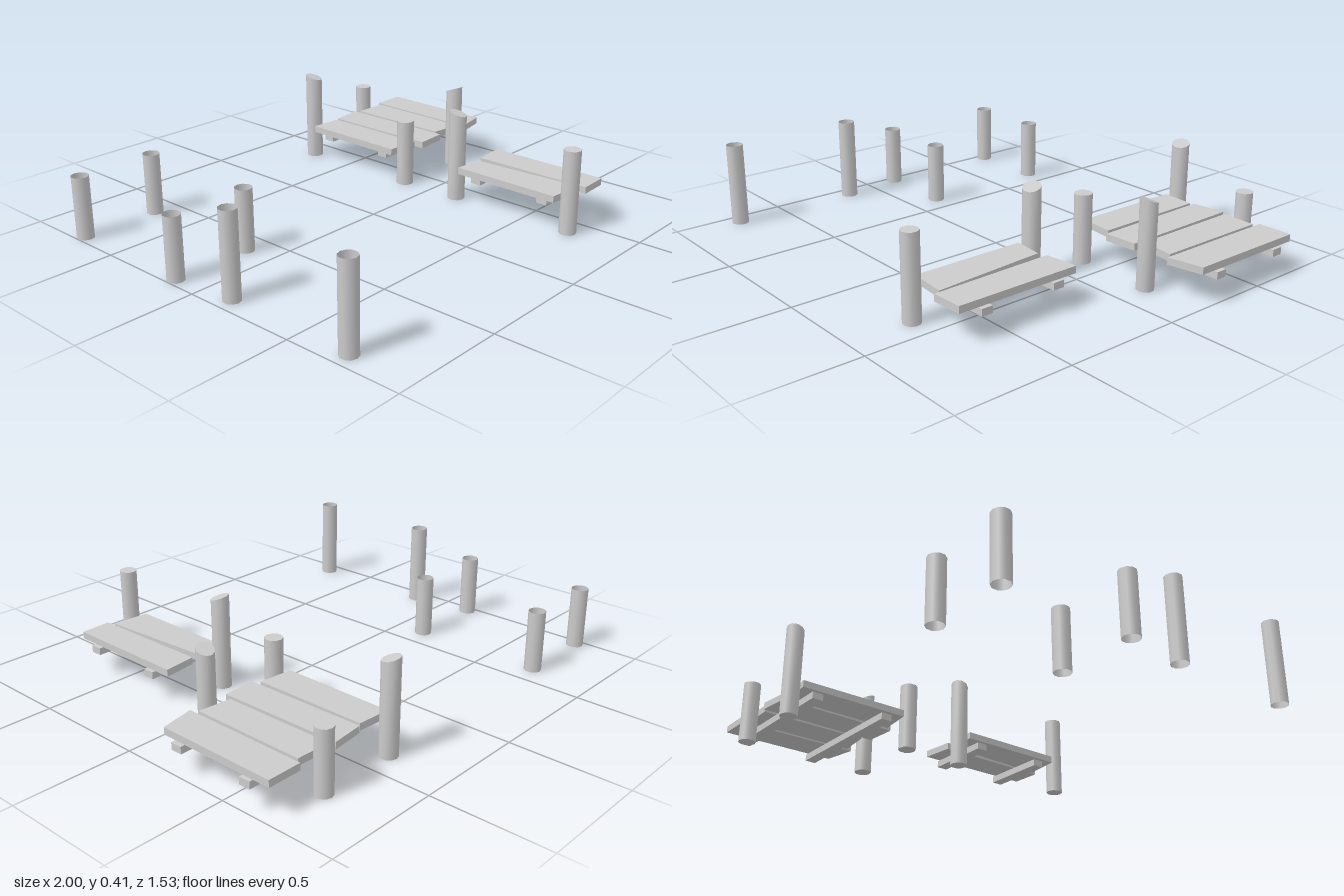
import * as THREE from 'three';

const wood = new THREE.MeshStandardMaterial({ color: 0xcccccc });
const openWood = new THREE.MeshStandardMaterial({ color: 0xcccccc, side: THREE.DoubleSide });

// Round post standing on the ground; its top may be sawn at a slant (rise per x and z)
function post(name, x, z, height, radius, slopeX = 0, slopeZ = 0, open = false) {
  const g = new THREE.CylinderGeometry(radius, radius, height, 10, 1, open);
  g.translate(0, height / 2, 0);
  const p = g.attributes.position;
  for (let i = 0; i < p.count; i++) {
    if (p.getY(i) > height / 2) p.setY(i, height + p.getX(i) * slopeX + p.getZ(i) * slopeZ);
  }
  if (slopeX || slopeZ) g.computeVertexNormals();
  const mesh = new THREE.Mesh(g, open ? openWood : wood);
  mesh.name = name;
  mesh.position.set(x, 0, z);
  return mesh;
}

// Crooked plank from its four corners [x, z] seen from above
function plank(corners) {
  const shape = new THREE.Shape(corners.map(([x, z]) => new THREE.Vector2(x, -z)));
  const g = new THREE.ExtrudeGeometry(shape, { depth: 0.03, bevelEnabled: false });
  g.rotateX(-Math.PI / 2);
  const mesh = new THREE.Mesh(g, wood);
  mesh.name = 'plank';
  mesh.position.y = 0.13;
  return mesh;
}

// Support beam running along x under the planks
function beam(x0, x1, z) {
  const mesh = new THREE.Mesh(new THREE.BoxGeometry(x1 - x0, 0.03, 0.05), wood);
  mesh.name = 'beam';
  mesh.position.set((x0 + x1) / 2, 0.115, z);
  return mesh;
}

function deck(name, planks, beams) {
  const group = new THREE.Group();
  group.name = name;
  planks.forEach((c) => group.add(plank(c)));
  beams.forEach((b) => group.add(beam(...b)));
  return group;
}

export function createModel() {
  const model = new THREE.Group();
  model.name = 'brokenDock';

  // Two plank decks
  model.add(deck('backDeck', [
    [[0.345, -0.69], [0.49, -0.68], [0.49, -0.18], [0.34, -0.195]],
    [[0.505, -0.69], [0.65, -0.705], [0.655, -0.16], [0.51, -0.15]],
    [[0.67, -0.69], [0.82, -0.685], [0.815, -0.185], [0.67, -0.2]],
    [[0.835, -0.71], [0.985, -0.71], [0.98, -0.185], [0.83, -0.155]],
  ], [[0.36, 1, -0.61], [0.36, 1, -0.27]]));
  model.add(deck('frontDeck', [
    [[0.355, 0.18], [0.485, 0.195], [0.515, 0.69], [0.35, 0.675]],
    [[0.52, 0.18], [0.665, 0.165], [0.66, 0.715], [0.525, 0.72]],
  ], [[0.37, 0.68, 0.265], [0.37, 0.68, 0.605]]));

  // Posts beside the decks, some sawn at a slant
  const deckPosts = new THREE.Group();
  deckPosts.name = 'deckPosts';
  [
    [0.38, -0.727, 0.395, 0.038, -0.15, -0.25],
    [0.735, -0.727, 0.27, 0.037],
    [0.38, -0.145, 0.3, 0.038],
    [0.735, -0.143, 0.37, 0.037, -0.08, 0.4],
    [0.39, 0.145, 0.395, 0.038, -0.15, -0.3],
    [0.393, 0.725, 0.365, 0.037],
  ].forEach((a) => deckPosts.add(post('deckPost', ...a)));
  model.add(deckPosts);

  // Hollow posts standing alone on the other side
  const lonePosts = new THREE.Group();
  lonePosts.name = 'lonePosts';
  [
    [-0.963, -0.722, 0.27],
    [-0.61, -0.722, 0.27],
    [-0.963, -0.138, 0.27],
    [-0.61, -0.138, 0.27],
    [-0.932, 0.145, 0.365],
    [-0.932, 0.725, 0.365],
  ].forEach(([x, z, h]) => lonePosts.add(post('lonePost', x, z, h, 0.037, 0, 0, true)));
  model.add(lonePosts);

  return model;
}
